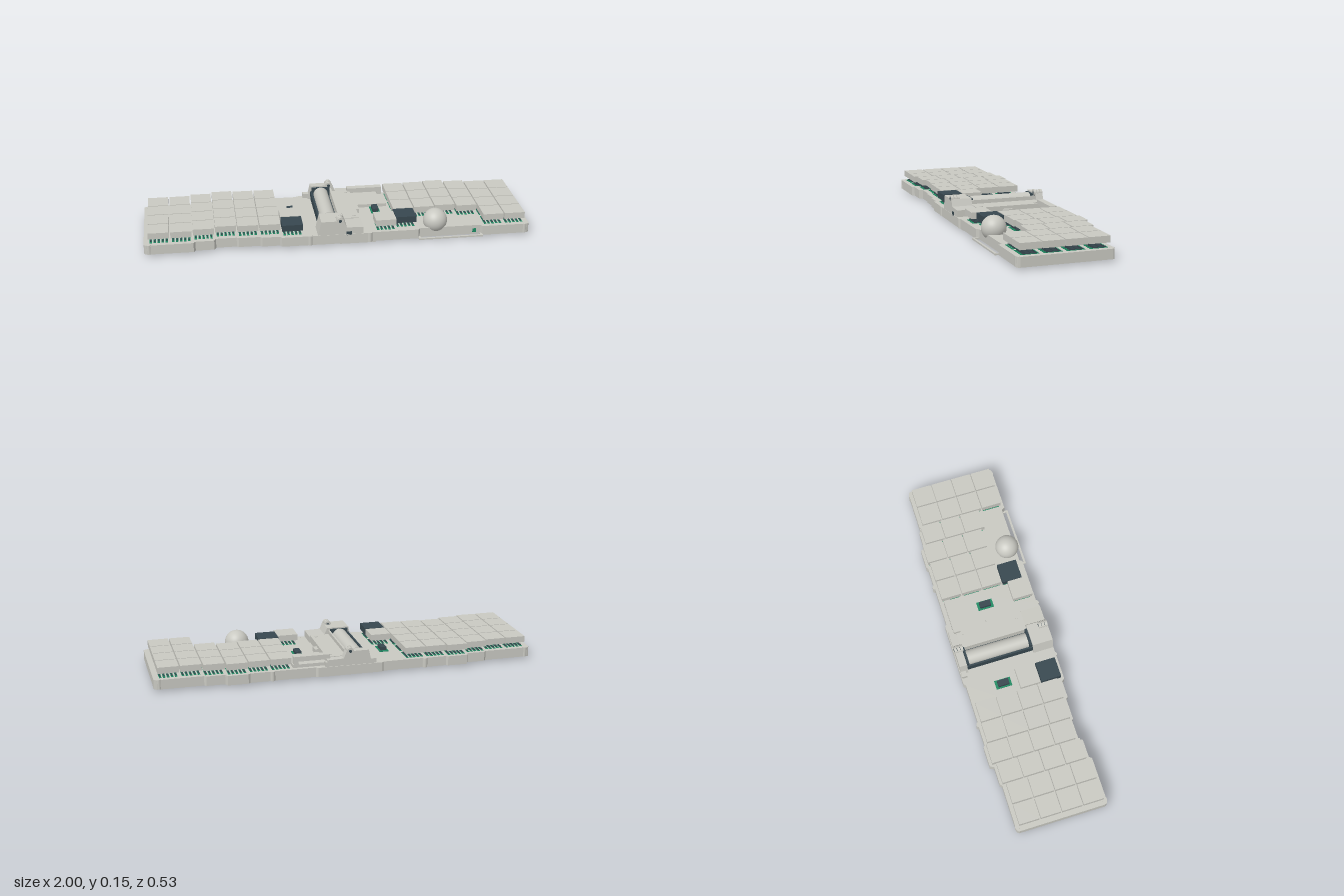
import * as THREE from 'three';

const mat = (name, color, side = THREE.FrontSide) => {
  const m = new THREE.MeshStandardMaterial({ color, side });
  m.name = name;
  return m;
};

export function createModel() {
  const shell = mat('warm grey plastic', 0xc8c8c1);
  const dark = mat('dark slate', 0x37474f);
  const green = mat('circuit green', 0x1f8a63);
  const model = new THREE.Group();
  model.name = 'splitKeyboard';

  const add = (name, geo, material, parent = model) => {
    const m = new THREE.Mesh(geo, material);
    m.name = name;
    parent.add(m);
    return m;
  };
  // box given by its minimum and maximum on each axis
  const box = (name, x0, x1, y0, y1, z0, z1, material = shell, parent = model) =>
    add(name, new THREE.BoxGeometry(x1 - x0, y1 - y0, z1 - z0)
      .translate((x0 + x1) / 2, (y0 + y1) / 2, (z0 + z1) / 2), material, parent);
  const rod = (name, r, len, x, y, z, axis, material = shell) => {
    const g = new THREE.CylinderGeometry(r, r, len, 32);
    if (axis === 'z') g.rotateX(Math.PI / 2);
    if (axis === 'x') g.rotateZ(Math.PI / 2);
    return add(name, g.translate(x, y, z), material);
  };
  // horizontal slab from an outline of [x, z] points with cut corners
  const slab = (name, pts, y0, y1, material = shell) => {
    const s = new THREE.Shape(pts.map(([x, z]) => new THREE.Vector2(x, -z)));
    const g = new THREE.ExtrudeGeometry(s, { depth: y1 - y0, bevelEnabled: false });
    return add(name, g.rotateX(-Math.PI / 2).translate(0, y0, 0), material);
  };

  // stepped case halves following the column stagger
  const back = [[0.985, -0.235], [0.75, -0.235], [0.74, -0.245], [0.645, -0.245], [0.635, -0.266],
    [0.53, -0.266], [0.52, -0.258], [0.41, -0.258], [0.4, -0.256], [0.18, -0.256], [0.17, -0.266], [0, -0.266]];
  const frontLeft = [[0, 0.252], [0.15, 0.252], [0.16, 0.246], [0.41, 0.246], [0.42, 0.232],
    [0.74, 0.232], [0.75, 0.25], [0.985, 0.25]];
  const frontRight = [[0, 0.252], [0.3, 0.25], [0.31, 0.235], [0.4, 0.235], [0.41, 0.224], [0.52, 0.224],
    [0.53, 0.216], [0.635, 0.216], [0.645, 0.236], [0.74, 0.236], [0.75, 0.25], [0.985, 0.25]];
  const tip = [[0.996, 0.245], [1, 0.235], [1, -0.222], [0.996, -0.23]];
  const mirror = p => p.map(([x, z]) => [-x, z]);
  const leftOutline = [...back, ...frontLeft, ...tip];
  const rightOutline = mirror([...back, ...frontRight, ...tip]);
  slab('leftCase', leftOutline, 0.01, 0.06);
  slab('rightCase', rightOutline, 0.01, 0.06);
  box('bottomPlateLeft', 0, 0.19, 0, 0.01, -0.075, 0.237);
  box('bottomPlateRight', -0.19, 0, 0, 0.01, -0.22, 0.18);

  // corner posts and case screws
  for (const s of [-1, 1]) {
    for (const [x, z] of [[0.975, -0.225], [0.975, 0.24], [0.405, -0.254], [0.155, 0.244]])
      rod('casePost', 0.013, 0.05, s * x, 0.0355, z, 'y');
  }

  // keycaps with their switch boards underneath
  const key = (x, z, material = shell) => {
    const g = new THREE.Group();
    g.name = 'key';
    g.position.set(x, 0, z);
    model.add(g);
    box('keycap', -0.0535, 0.0535, 0.085, 0.118, -0.0535, 0.0535, material, g);
    for (let i = -2; i <= 2; i++) {
      box('switchBoard', i * 0.02 - 0.006, i * 0.02 + 0.006, 0.06, 0.062, -0.046, 0.046, green, g);
      box('switchContact', i * 0.02 - 0.003, i * 0.02 + 0.003, 0.062, 0.067, -0.035, 0.035, dark, g);
    }
  };
  const pitch = 0.1135;
  const stagger = [0, 0, -0.016, -0.036, -0.027, -0.025];
  for (const s of [-1, 1]) {
    stagger.forEach((dz, col) => {
      const rows = s < 0 || col < 2 ? 4 : 3;
      for (let r = 0; r < rows; r++) key(s * (0.924 - col * pitch), -0.163 + dz + r * pitch);
    });
  }
  key(-0.243, 0.064);
  key(-0.243, 0.177, dark);
  key(0.243, 0.177);
  key(0.352, 0.152, dark);

  // trackball and its front rail
  add('trackball', new THREE.SphereGeometry(0.063, 40, 28).translate(0.508, 0.084, 0.188), shell);
  box('ballRail', 0.41, 0.75, 0.01, 0.018, 0.257, 0.268);
  for (const x of [0.41, 0.738]) box('railEnd', x, x + 0.012, 0.01, 0.018, 0.225, 0.268);
  box('sidePort', 0.7, 0.72, 0.02, 0.042, 0.23, 0.2335, green);

  // small connector modules
  for (const [x, z] of [[-0.228, -0.065], [0.225, -0.025]]) {
    box('moduleBoard', x - 0.024, x + 0.024, 0.06, 0.064, z - 0.043, z + 0.043, green);
    box('moduleBody', x - 0.016, x + 0.016, 0.064, 0.082, z - 0.03, z + 0.03, dark);
  }

  // hinge end blocks, profiled in the front plane
  const endBlock = (name, z0, z1) => {
    const s = new THREE.Shape([[-0.115, 0.015], [0.12, 0.03], [0.12, 0.095], [0.035, 0.098],
      [0.02, 0.134], [-0.098, 0.134], [-0.115, 0.06]].map(p => new THREE.Vector2(...p)));
    add(name, new THREE.ExtrudeGeometry(s, { depth: z1 - z0, bevelEnabled: false }).translate(0, 0, z0), shell);
  };
  endBlock('frontEndBlock', 0.14, 0.25);
  endBlock('backEndBlock', -0.262, -0.222);
  for (const [z0, z1] of [[0.2, 0.251], [-0.265, -0.215]]) {
    const w = (z1 - z0) / 3;
    for (let i = 0; i < 3; i++) rod('hingeKnuckle', 0.018, w - 0.003, 0, 0.134, z0 + (i + 0.5) * w, 'z');
    rod('hingePin', 0.008, z1 - z0, 0, 0.134, (z0 + z1) / 2, 'z', dark);
  }
  box('frontSocket', 0.032, 0.06, 0.053, 0.075, 0.25, 0.252, dark);
  box('backArm', -0.14, 0.13, 0.06, 0.085, -0.262, -0.235);

  // battery in its cradle
  box('batteryCradle', -0.1, 0.01, 0.06, 0.075, -0.222, 0.14, dark);
  box('cradleWall', -0.1, -0.091, 0.075, 0.105, -0.222, 0.14, dark);
  for (const z of [-0.22, 0.127]) box('cradleEnd', -0.092, 0.005, 0.075, 0.128, z, z + 0.012, dark);
  rod('battery', 0.039, 0.33, -0.045, 0.092, -0.041, 'z');

  // cover plate beside the battery
  box('coverWall', 0.004, 0.014, 0.06, 0.12, -0.222, 0.14);
  box('coverPlate', 0.014, 0.115, 0.06, 0.1, -0.222, 0.14);
  box('coverTab', 0.115, 0.135, 0.06, 0.085, -0.05, 0.0);
  for (const z of [-0.19, 0.11]) rod('coverScrew', 0.009, 0.004, 0.09, 0.101, z, 'y');

  // rear shelf with latch bar
  box('rearShelf', 0.12, 0.295, 0.06, 0.077, -0.235, -0.07);
  box('latchBar', 0.1, 0.29, 0.092, 0.118, -0.235, -0.2);
  box('latchPost', 0.265, 0.29, 0.077, 0.092, -0.235, -0.2);

  return model;
}
